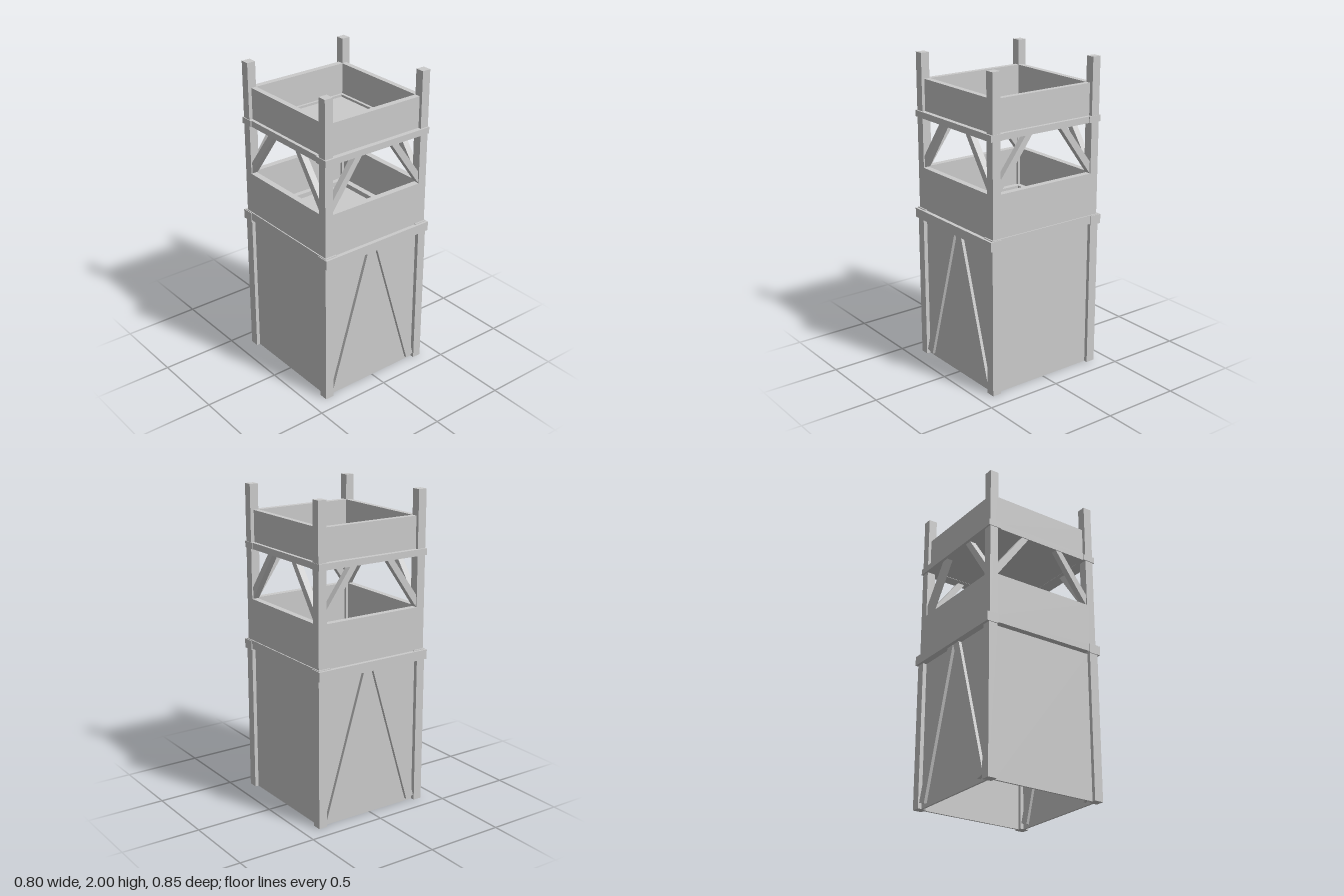
import * as THREE from 'three';

const material = new THREE.MeshStandardMaterial({ color: 0xcccccc, flatShading: true });

export function createModel() {
  const tower = new THREE.Group();
  tower.name = 'watchtower';

  // Box given by its lower and upper limits on each axis
  const box = (name, [x0, x1], [y0, y1], [z0, z1]) => {
    const mesh = new THREE.Mesh(new THREE.BoxGeometry(x1 - x0, y1 - y0, z1 - z0), material);
    mesh.position.set((x0 + x1) / 2, (y0 + y1) / 2, (z0 + z1) / 2);
    mesh.name = name;
    tower.add(mesh);
  };
  const span = (s, inner, outer) => (s > 0 ? [inner, outer] : [-outer, -inner]);

  // Flat bar with a four-corner outline, extruded in depth
  const bar = (name, corners, depth) => {
    const shape = new THREE.Shape(corners.map(([x, y]) => new THREE.Vector2(x, y)));
    const geometry = new THREE.ExtrudeGeometry(shape, { depth, bevelEnabled: false });
    const mesh = new THREE.Mesh(geometry, material);
    mesh.name = name;
    return mesh;
  };

  // Corner posts: thick lower legs and slimmer upper posts
  for (const sx of [-1, 1]) {
    for (const sz of [-1, 1]) {
      box('lowerPost', span(sx, 0.337, 0.394), [0, 0.95], span(sz, 0.348, 0.408));
      box('upperPost', span(sx, 0.331, 0.388), [0.95, 2], span(sz, 0.343, 0.4));
    }
  }

  for (const s of [-1, 1]) {
    // Lower cladding, recessed between the legs
    box('lowerEndPanel', [-0.34, 0.34], [0, 0.95], span(s, 0.37, 0.382));
    box('lowerSidePanel', span(s, 0.358, 0.37), [0, 0.945], [-0.35, 0.35]);

    // Beams carrying the lower deck
    box('lowerEndBeam', [-0.4, 0.4], [0.945, 1.005], span(s, 0.345, 0.425));
    box('lowerSideBeam', span(s, 0.31, 0.395), [0.955, 1.01], [-0.41, 0.41]);

    // Middle parapet, flush with the posts
    box('middleEndWall', [-0.331, 0.331], [1.005, 1.28], span(s, 0.36, 0.4));
    box('middleSideWall', span(s, 0.348, 0.388), [1.005, 1.28], [-0.343, 0.343]);
    box('middleEndLedge', [-0.35, 0.35], [1.0, 1.03], span(s, 0.325, 0.365));
    box('middleSideLedge', span(s, 0.31, 0.35), [1.0, 1.03], [-0.325, 0.325]);

    // Beams carrying the upper deck
    box('upperEndBeam', [-0.393, 0.39], [1.6, 1.64], span(s, 0.325, 0.411));
    box('upperSideBeam', span(s, 0.31, 0.385), [1.6, 1.64], [-0.343, 0.343]);

    // Upper parapet, set back from the post faces
    box('upperEndWall', [-0.335, 0.335], [1.64, 1.84], span(s, 0.341, 0.38));
    box('upperSideWall', span(s, 0.329, 0.364), [1.64, 1.84], [-0.345, 0.345]);
  }

  box('lowerDeck', [-0.345, 0.345], [0.96, 1.0], [-0.36, 0.36]);
  box('upperDeck', [-0.312, 0.312], [1.602, 1.625], [-0.327, 0.327]);

  // Braces on the four faces, mirrored by half turns
  for (let turn = 0; turn < 4; turn++) {
    const face = new THREE.Group();
    face.name = 'braces';
    face.rotation.y = turn * Math.PI / 2;
    const isEnd = turn % 2 === 0;
    const postEdge = isEnd ? 0.333 : 0.343;
    for (const s of [-1, 1]) {
      const side = (corners) => corners.map(([x, y]) => [s * x, y]);
      // Knee brace under the upper deck
      const knee = bar('kneeBrace', side([
        [postEdge, 1.28], [postEdge, 1.355], [0.152, 1.605], [0.104, 1.605],
      ]), 0.04);
      knee.position.z = isEnd ? 0.352 : 0.34;
      face.add(knee);
      // Long leaning brace on the front and back of the lower part
      if (isEnd) {
        const long = bar('longBrace', side([
          [0.281, 0.018], [0.335, 0.034], [0.06, 0.95], [0.002, 0.95],
        ]), 0.05);
        long.position.z = 0.352;
        face.add(long);
      }
    }
    tower.add(face);
  }

  return tower;
}
